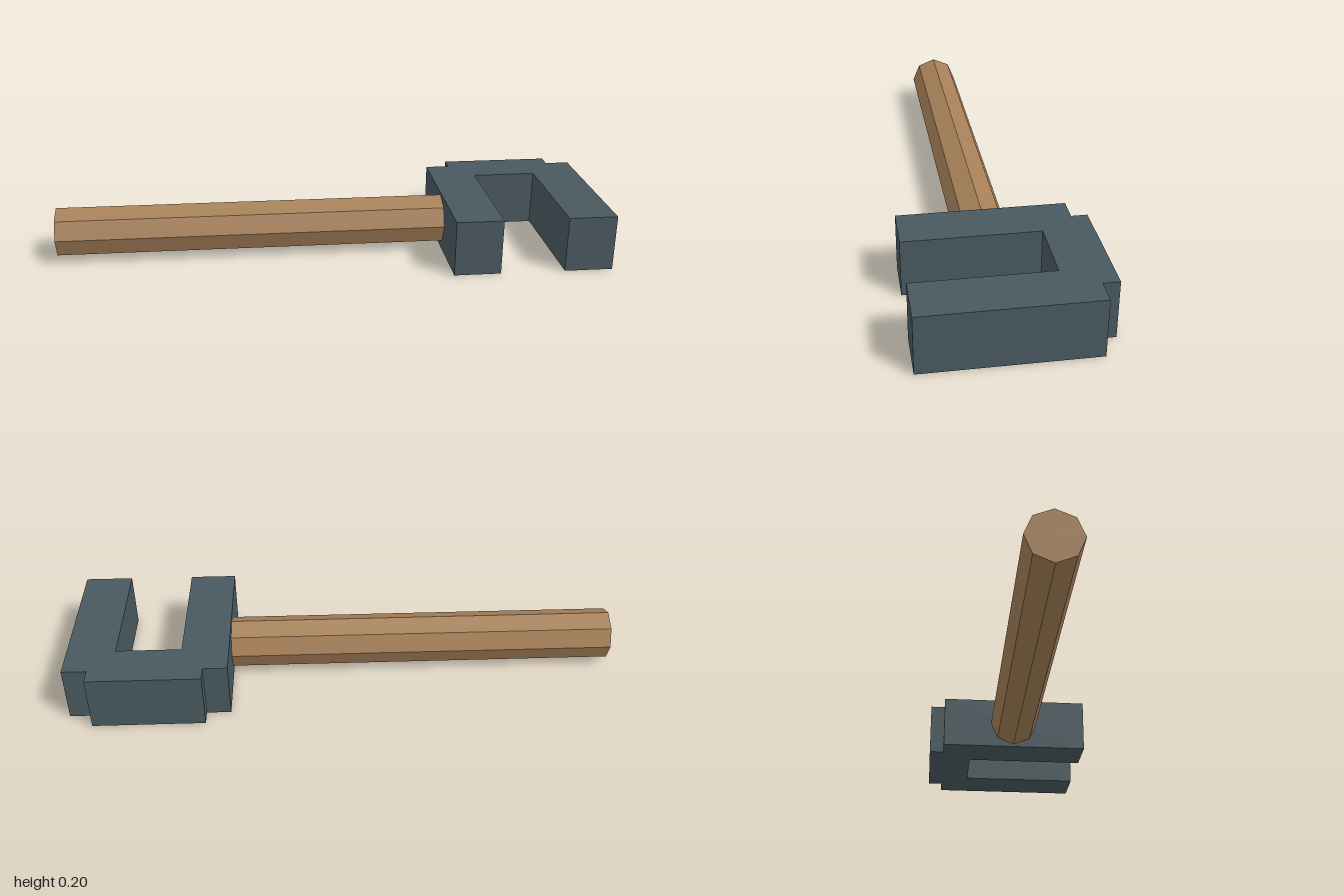
import * as THREE from 'three';

export function createModel() {
  const group = new THREE.Group();

  const wood = new THREE.MeshStandardMaterial({ color: 0xa68059, flatShading: true });
  wood.name = 'wood';
  const steel = new THREE.MeshStandardMaterial({ color: 0x49595f, flatShading: true });
  steel.name = 'steel';

  // Eight-sided handle lying along x
  const handleGeometry = new THREE.CylinderGeometry(0.093, 0.093, 1.42, 8);
  handleGeometry.rotateZ(Math.PI / 2);
  const handle = new THREE.Mesh(handleGeometry, wood);
  handle.name = 'handle';
  handle.position.set(-0.29, 0.103, 0.025);
  group.add(handle);

  // U-shaped head with a raised striking plate at the back, as [x, z] plan points
  const outline = [
    [0.42, 0.318], [0.59, 0.318], [0.59, -0.148], [0.825, -0.148],
    [0.825, 0.318], [1, 0.318], [1, -0.262], [0.912, -0.262],
    [0.912, -0.318], [0.508, -0.318], [0.508, -0.262], [0.42, -0.262],
  ];
  const shape = new THREE.Shape(outline.map(([x, z]) => new THREE.Vector2(x, -z)));
  const headGeometry = new THREE.ExtrudeGeometry(shape, { depth: 0.204, bevelEnabled: false });
  headGeometry.rotateX(-Math.PI / 2);
  const head = new THREE.Mesh(headGeometry, steel);
  head.name = 'head';
  group.add(head);

  return group;
}
